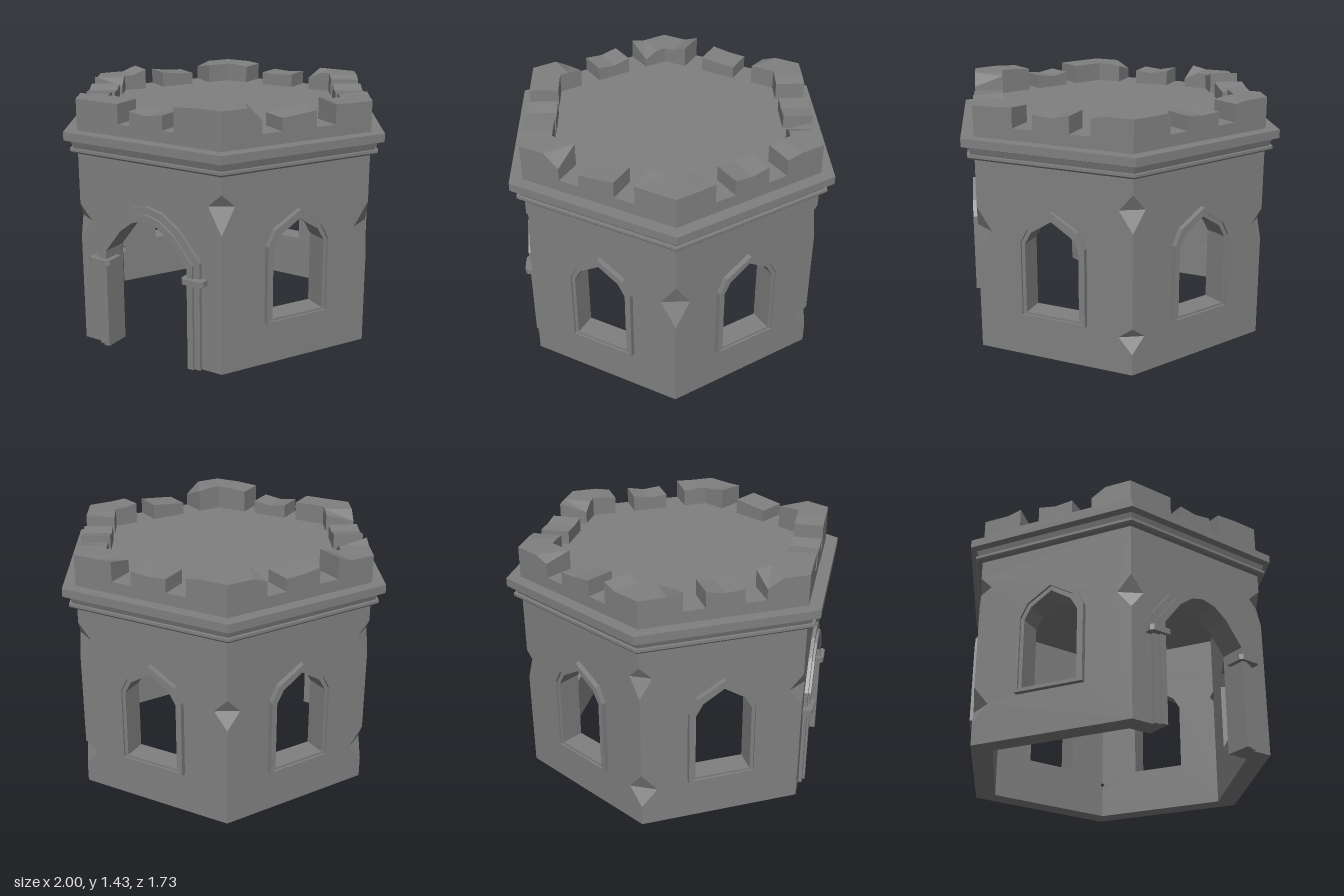
import * as THREE from 'three';

const R = 0.92, AP = R * Math.sqrt(3) / 2, HALF = R / 2;   // outer hexagon
const WALL = 0.115, WALL_TOP = 1.11, DECK = 1.29;
const PARAPET = 0.165, R_IN = (AP - PARAPET) / (Math.sqrt(3) / 2);

const stone = new THREE.MeshStandardMaterial({ color: 0x808080 });
stone.name = 'grey stone';

// Half outlines (right side, bottom to apex); mirrored to full openings
const WINDOW_IN = [[0.158, 0.268], [0.158, 0.665], [0.118, 0.735], [0, 0.81]];
const WINDOW_OUT = [[0.198, 0.242], [0.198, 0.685], [0.155, 0.772], [0, 0.865]];
const DOOR_IN = [[0.265, 0], [0.265, 0.575], [0.16, 0.71], [0.08, 0.77], [0, 0.79]];
const DOOR_OUT = [[0.337, 0], [0.337, 0.615], [0.21, 0.77], [0.1, 0.845], [0, 0.87]];

// Broken spots on each corner edge: [bottom, middle, top, width]
const CHIPS = [
  [[0.78, 0.93, 1.0, 0.08]],
  [[0.55, 0.7, 0.83, 0.09]],
  [[0.12, 0.21, 0.27, 0.08], [0.8, 0.92, 1.01, 0.08]],
  [[0.58, 0.68, 0.76, 0.08]],
  [[0.12, 0.22, 0.33, 0.09], [0.81, 0.93, 1.0, 0.07]],
  [[0.62, 0.72, 0.81, 0.08]],
];

// Corner merlons: [top, start outer, start inner, end outer, end inner]
const CORNERS = [
  [1.43, 1.42, 1.42, 1.36, 1.42],
  [1.395, 1.4, 1.41, 1.4, 1.385],
  [1.4, 1.385, 1.39, 1.4, 1.36],
  [1.4, 1.39, 1.39, 1.37, 1.4],
  [1.38, 1.41, 1.41, 1.4, 1.34],
  [1.4, 1.35, 1.39, 1.4, 1.4],
];
// Middle merlons: top heights left, centre, right
const MIDDLES = [
  [1.37, 1.355, 1.37], [1.36, 1.37, 1.38], [1.375, 1.365, 1.385],
  [1.37, 1.36, 1.365], [1.36, 1.365, 1.38], [1.38, 1.36, 1.37],
];

const mirror = (half) => [...half, ...half.slice(0, -1).reverse().map(([x, y]) => [-x, y])];
const mix = (a, b, t) => a.map(([x, y], i) => [x + (b[i][0] - x) * t, y + (b[i][1] - y) * t]);
const vectors = (pts) => pts.map(([x, y]) => new THREE.Vector2(x, y));

function add(parent, name, geometry) {
  const mesh = new THREE.Mesh(geometry, stone);
  mesh.name = name;
  parent.add(mesh);
  return mesh;
}

function extrude(shape, z0, z1) {
  const g = new THREE.ExtrudeGeometry(shape, { depth: z1 - z0, bevelEnabled: false });
  return g.translate(0, 0, z0);
}

// Point on side k: s along the side, d out from the centre
function sidePoint(k, s, d, y) {
  return new THREE.Vector3(s, y, d).applyAxisAngle(new THREE.Vector3(0, 1, 0), k * Math.PI / 3);
}
function cornerPoint(j, r, y) {
  const a = Math.PI / 6 + j * Math.PI / 3;
  return new THREE.Vector3(r * Math.sin(a), y, r * Math.cos(a));
}

function fromTriangles(points) {
  const g = new THREE.BufferGeometry().setFromPoints(points);
  g.computeVertexNormals();
  return g;
}

// Closed solid through four-point cross-sections
function loft(sections) {
  const tri = [];
  const quad = (a, b, c, d) => tri.push(a, b, c, a, c, d);
  for (let i = 0; i < sections.length - 1; i++) {
    const a = sections[i], b = sections[i + 1];
    for (let p = 0; p < 4; p++) quad(a[p], b[p], b[(p + 1) % 4], a[(p + 1) % 4]);
  }
  quad(...sections[0]);
  quad(...[...sections[sections.length - 1]].reverse());
  return fromTriangles(tri);
}

const BASE = DECK - 0.01;
const sideSection = (k, s, yOut, yIn) => [
  sidePoint(k, s, AP, BASE), sidePoint(k, s, AP, yOut),
  sidePoint(k, s, AP - PARAPET, yIn), sidePoint(k, s, AP - PARAPET, BASE),
];

function hexRing(profile) {
  const g = new THREE.LatheGeometry(vectors(profile), 6, Math.PI / 6).toNonIndexed();
  g.computeVertexNormals();
  return g;
}

// Wall outline with chipped side edges, and the doorway on the front
function wallShape(k) {
  const pts = [[HALF, 0]];
  for (const [a, m, b, w] of CHIPS[k]) pts.push([HALF, a], [HALF - w, m], [HALF, b]);
  pts.push([HALF, WALL_TOP], [-HALF, WALL_TOP]);
  for (const [a, m, b, w] of [...CHIPS[(k + 5) % 6]].reverse()) {
    pts.push([-HALF, b], [-HALF + w, m], [-HALF, a]);
  }
  pts.push([-HALF, 0]);
  if (k === 0) pts.push(...mirror(DOOR_IN).reverse());
  const shape = new THREE.Shape(vectors(pts));
  if (k !== 0) shape.holes.push(new THREE.Path(vectors(mirror(WINDOW_IN))));
  return shape;
}

function addDoorTrim(side) {
  const mid = mix(DOOR_OUT, DOOR_IN, 0.5);
  [[DOOR_OUT, mid, 0.02], [mid, DOOR_IN, 0.034]].forEach(([o, i, depth]) => {
    const shape = new THREE.Shape(vectors([...mirror(o), ...mirror(i).reverse()]));
    add(side, 'doorArchTrim', extrude(shape, AP - 0.02, AP + depth));
  });
  // Capitals with clipped front corners
  for (const x of [-0.305, 0.305]) {
    const cap = new THREE.Shape(vectors([
      [-0.068, 0.06], [-0.068, -0.04], [-0.05, -0.055], [0.05, -0.055], [0.068, -0.04], [0.068, 0.06],
    ]));
    const g = extrude(cap, 0, 0.032).rotateX(-Math.PI / 2);
    add(side, 'doorCapital', g).position.set(x, 0.494, AP);
  }
}

function addWindowFrame(side) {
  const mid = mix(WINDOW_OUT, WINDOW_IN, 0.5);
  [[WINDOW_OUT, mid, 0.03], [mid, WINDOW_IN, 0.018]].forEach(([o, i, depth]) => {
    const shape = new THREE.Shape(vectors(mirror(o)));
    shape.holes.push(new THREE.Path(vectors(mirror(i))));
    add(side, 'windowFrame', extrude(shape, AP - 0.02, AP + depth));
  });
}

export function createModel() {
  const model = new THREE.Group();
  model.name = 'hexagonalTower';

  for (let k = 0; k < 6; k++) {
    const side = new THREE.Group();
    side.name = k === 0 ? 'doorSide' : 'windowSide';
    side.rotation.y = k * Math.PI / 3;
    model.add(side);
    add(side, 'wallPanel', extrude(wallShape(k), AP - WALL, AP));
    if (k === 0) addDoorTrim(side); else addWindowFrame(side);

    // Slanted faces closing the chips on corner k
    const next = k + 1;
    for (const [a, m, b, w] of CHIPS[k]) {
      const left = sidePoint(k, HALF - w, AP, m), right = sidePoint(next, w - HALF, AP, m);
      add(model, 'cornerChip', fromTriangles([
        cornerPoint(k, R, b), left, right, cornerPoint(k, R, a), right, left,
      ]));
    }

    // Parapet blocks
    const [l, c, r] = MIDDLES[k];
    add(model, 'middleMerlon', loft([
      sideSection(k, -0.105, l, l), sideSection(k, 0, c, c), sideSection(k, 0.105, r, r),
    ]));
    const [h, ao, ai, bo, bi] = CORNERS[k];
    add(model, 'cornerMerlon', loft([
      sideSection(k, k === 0 ? 0.175 : 0.225, ao, ai),
      sideSection(k, 0.31, h, h),
      [cornerPoint(k, R, BASE), cornerPoint(k, R, h), cornerPoint(k, R_IN, h), cornerPoint(k, R_IN, BASE)],
      sideSection(next, -0.31, h, h),
      sideSection(next, k === 5 ? -0.18 : -0.225, bo, bi),
    ]));
  }

  // Solid roof slab and the stepped cornice around it
  add(model, 'roofDeck', hexRing([[0, 1.1], [R, 1.1], [R, DECK], [0, DECK]]));
  add(model, 'lowerCornice', hexRing([
    [0.9, 1.105], [0.955, 1.105], [0.965, 1.115], [0.965, 1.13], [0.945, 1.13], [0.96, 1.168], [0.9, 1.168],
  ]));
  add(model, 'upperCornice', hexRing([[0.9, 1.168], [0.965, 1.168], [1, 1.178], [1, 1.225], [0.9, 1.225]]));
  return model;
}
